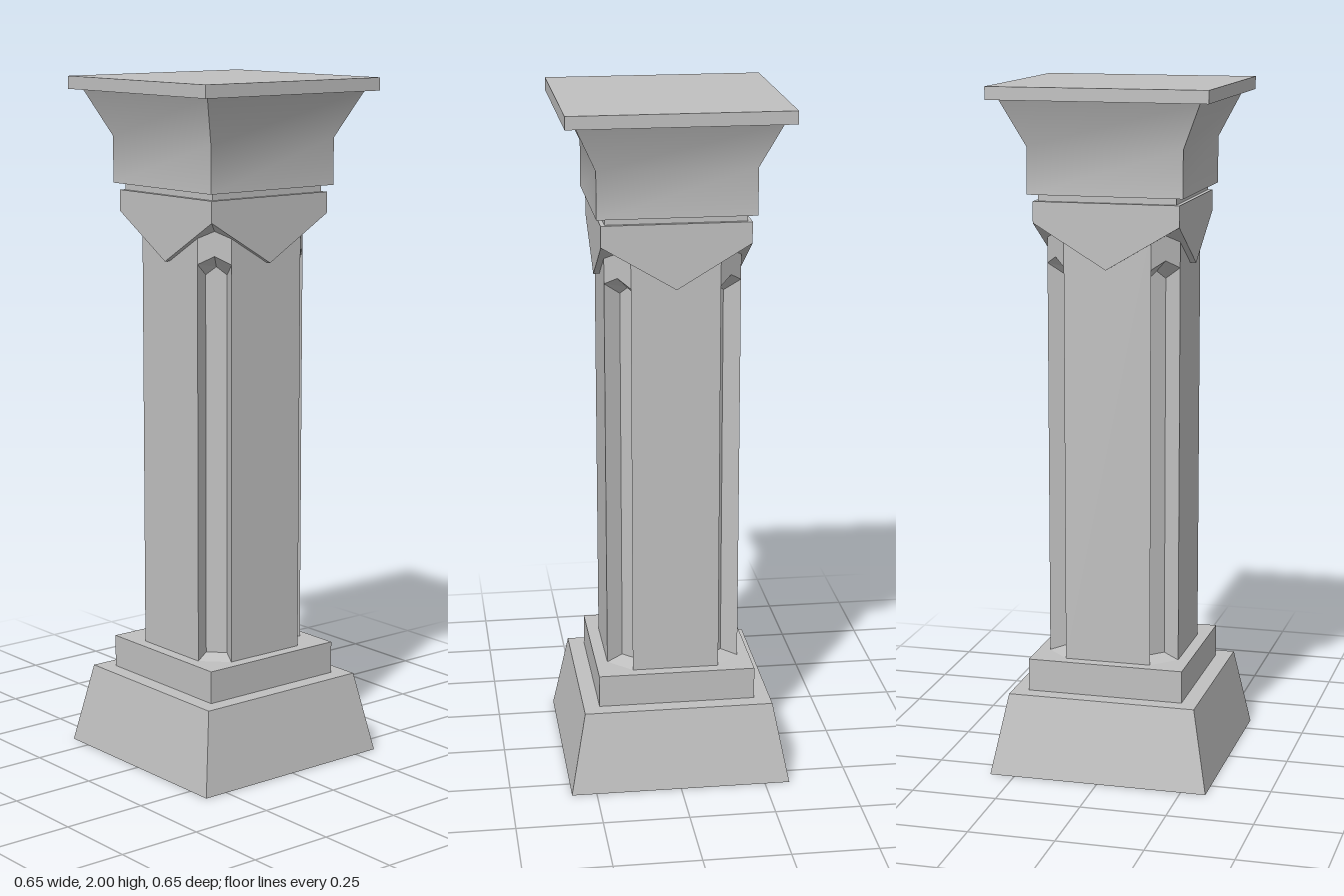
import * as THREE from 'three';
import { mergeGeometries } from 'three/addons/utils/BufferGeometryUtils.js';

// Repeat a geometry for one side around the four sides of the pillar
function fourSides(geometry) {
  const sides = [0, 1, 2, 3].map((i) => geometry.clone().rotateY((i * Math.PI) / 2));
  return mergeGeometries(sides);
}

// Flat polygons, each a convex list of [x, y, z] corners
function polygons(list) {
  const positions = [];
  for (const p of list) {
    for (let i = 1; i < p.length - 1; i++) positions.push(...p[0], ...p[i], ...p[i + 1]);
  }
  const geometry = new THREE.BufferGeometry();
  geometry.setAttribute('position', new THREE.Float32BufferAttribute(positions, 3));
  geometry.computeVertexNormals();
  return geometry;
}

// Square moulding from a profile of [half width, height], bottom to top
function moulding(profile, smooth = false) {
  const positions = [];
  const index = [];
  profile.forEach(([h, y], i) => {
    positions.push(-h, y, h, h, y, h);
    const a = i * 2;
    if (i < profile.length - 1) index.push(a, a + 1, a + 3, a, a + 3, a + 2);
  });
  let side = new THREE.BufferGeometry();
  side.setAttribute('position', new THREE.Float32BufferAttribute(positions, 3));
  side.setIndex(index);
  if (!smooth) side = side.toNonIndexed();
  side.computeVertexNormals();
  return fourSides(side);
}

export function createModel() {
  const model = new THREE.Group();
  const stone = new THREE.MeshStandardMaterial({ color: 0xc0c0c0, side: THREE.DoubleSide });
  stone.name = 'grey stone';

  const add = (name, geometry) => {
    const mesh = new THREE.Mesh(geometry, stone);
    mesh.name = name;
    model.add(mesh);
  };

  // Hollow sloping plinth and the step above it
  add('plinth', moulding([[0.323, 0], [0.277, 0.237], [0.23, 0.237]]));
  add('step', moulding([[0.23, 0.237], [0.23, 0.332], [0.195, 0.332]]));

  // Shaft faces
  const w = 0.127, s = 0.195, foot = 0.332, top = 1.6;
  add('shaft', fourSides(polygons([
    [[-w, foot, s], [w, foot, s], [w, top, s], [-w, top, s]],
  ])));

  // Recessed corner grooves: outer lips, back strip, and their mid points
  const lipL = (y) => [w, y, s], lipR = (y) => [s, y, w];
  const backL = (y) => [0.105, y, 0.148], backR = (y) => [0.148, y, 0.105];
  const lipM = (y) => [0.161, y, 0.161], backM = (y) => [0.1265, y, 0.1265];
  const sill = 0.345, spring = 1.49, peak = 1.513, backSpring = 1.455, backPeak = 1.478;
  add('cornerGrooves', fourSides(polygons([
    [lipL(foot), backL(sill), backL(backSpring), lipL(spring)],
    [backR(sill), lipR(foot), lipR(spring), backR(backSpring)],
    [backL(sill), backR(sill), backR(backSpring), backM(backPeak), backL(backSpring)],
    [lipL(foot), lipR(foot), backR(sill), backL(sill)],
    [lipL(foot), [s, foot, s], lipR(foot)],
  ])));

  // Gabled heads of the grooves and the chamfered corners above
  add('grooveHeads', fourSides(polygons([
    [lipL(spring), backL(backSpring), backM(backPeak), lipM(peak)],
    [lipM(peak), backM(backPeak), backR(backSpring), lipR(spring)],
    [lipM(peak), lipM(top), lipL(top), lipL(spring)],
    [lipM(peak), lipR(spring), lipR(top), lipM(top)],
  ])));

  // Collar with a downward point on every side
  const c = 0.212, tip = 1.487, shoulder = 1.614, rim = 1.675;
  add('pointedCollar', fourSides(polygons([
    [[0, tip, c], [c, shoulder, c], [c, rim, c], [-c, rim, c], [-c, shoulder, c]],
    [[c, shoulder, c], [0, tip, c], [0, tip, 0]],
    [[0, tip, 0], [0, tip, c], [-c, shoulder, c]],
  ])));

  // Neck, flared capital and top slab
  add('neck', moulding([[c, rim], [0.2, rim], [0.2, 1.695], [0.225, 1.695]]));
  add('capital', moulding([[0.225, 1.695], [0.225, 1.83], [0.286, 1.963]], true));
  add('topSlab', moulding([[0.286, 1.963], [0.316, 1.963], [0.316, 2], [0, 2]]));

  return model;
}
